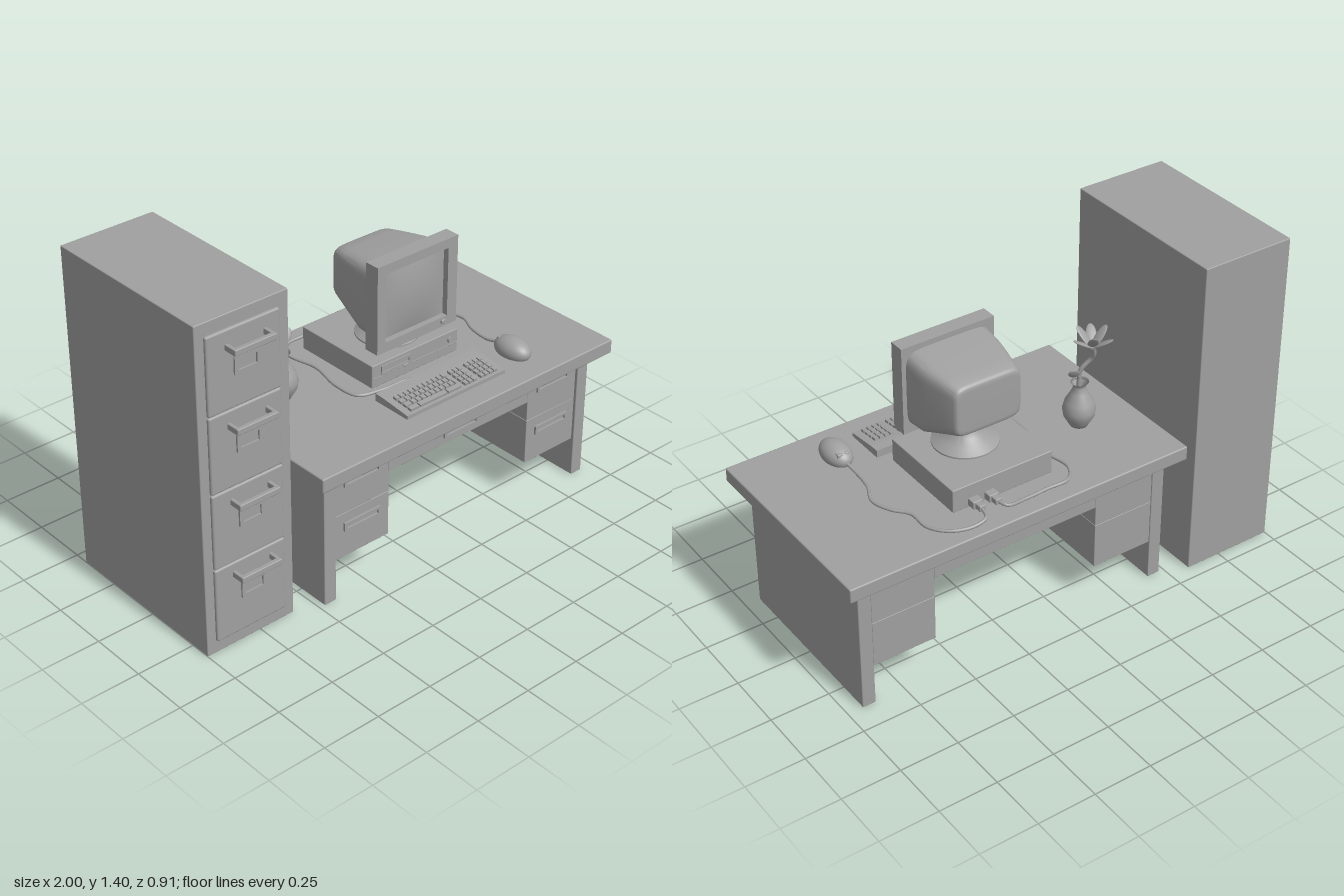
import * as THREE from 'three';
import { mergeGeometries, toCreasedNormals } from 'three/addons/utils/BufferGeometryUtils.js';
import { RoundedBoxGeometry } from 'three/addons/geometries/RoundedBoxGeometry.js';

const grey = new THREE.MeshStandardMaterial({ color: 0xa0a0a0 });
const greyDouble = new THREE.MeshStandardMaterial({ color: 0xa0a0a0, side: THREE.DoubleSide });
const V = (x, y, z) => new THREE.Vector3(x, y, z);

function add(parent, name, geometry, material = grey) {
  const mesh = new THREE.Mesh(geometry, material);
  mesh.name = name;
  parent.add(mesh);
  return mesh;
}

function group(parent, name) {
  const g = new THREE.Group();
  g.name = name;
  parent.add(g);
  return g;
}

// Box from its limits, with slightly eased edges
function box(parent, name, x0, x1, y0, y1, z0, z1, r = 0.004) {
  const g = new RoundedBoxGeometry(x1 - x0, y1 - y0, z1 - z0, 2, r);
  g.translate((x0 + x1) / 2, (y0 + y1) / 2, (z0 + z1) / 2);
  return add(parent, name, g);
}

function rectangle(path, x0, x1, y0, y1) {
  path.moveTo(x0, y0);
  path.lineTo(x1, y0);
  path.lineTo(x1, y1);
  path.lineTo(x0, y1);
  path.closePath();
  return path;
}

// Rectangular frame; border is [left, right, bottom, top]
function frame(parent, name, x0, x1, y0, y1, z0, z1, [l, r, b, t]) {
  const shape = rectangle(new THREE.Shape(), x0, x1, y0, y1);
  shape.holes.push(rectangle(new THREE.Path(), x0 + l, x1 - r, y0 + b, y1 - t));
  const g = new THREE.ExtrudeGeometry(shape, { depth: z1 - z0, bevelEnabled: false });
  return add(parent, name, g.translate(0, 0, z0));
}

function tube(parent, name, points, radius, segments = 80) {
  const curve = new THREE.CatmullRomCurve3(points.map((p) => V(...p)));
  return add(parent, name, new THREE.TubeGeometry(curve, segments, radius, 8));
}

function buildCabinet(root) {
  const cabinet = group(root, 'filingCabinet');
  box(cabinet, 'cabinetBody', -1, -0.59, 0, 1.4, -0.44, 0.34);
  for (let i = 0; i < 4; i++) {
    const y = 0.053 + i * 0.324;
    const drawer = group(cabinet, 'cabinetDrawer');
    box(drawer, 'drawerFront', -0.96, -0.635, y, y + 0.321, 0.32, 0.352, 0.008);
    // U-shaped pull
    const h = 0.325 + i * 0.318;
    box(drawer, 'pullBar', -0.88, -0.695, h - 0.013, h + 0.013, 0.39, 0.41);
    for (const x of [-0.88, -0.71]) box(drawer, 'pullArm', x, x + 0.015, h - 0.013, h + 0.013, 0.345, 0.4);
    frame(drawer, 'labelHolder', -0.845, -0.73, h - 0.12, h - 0.05, 0.35, 0.36, [0.016, 0.016, 0.014, 0.014]);
  }
}

function buildDesk(root) {
  const desk = group(root, 'desk');
  box(desk, 'deskTop', -0.535, 1, 0.572, 0.634, -0.455, 0.455, 0.006);
  for (const x of [-0.476, 0.878]) box(desk, 'sidePanel', x, x + 0.057, 0, 0.575, -0.39, 0.39);

  const drawer = (name, x0, x1, y0, y1, handleY) => {
    const d = group(desk, name);
    box(d, 'drawerBox', x0, x1, y0, y1, -0.385, 0.38, 0.002);
    const c = (x0 + x1) / 2;
    frame(d, 'recessedPull', c - 0.09, c + 0.09, handleY - 0.019, handleY + 0.019, 0.375, 0.389,
      [0.012, 0.012, 0.01, 0.01]);
  };
  for (const x of [-0.42, 0.601]) {
    drawer('upperDrawer', x, x + 0.275, 0.3755, 0.574, 0.512);
    drawer('lowerDrawer', x, x + 0.275, 0.175, 0.3745, 0.312);
  }
  drawer('centreDrawer', -0.145, 0.601, 0.463, 0.574, 0.512);
}

// Tapered picture-tube housing lofted through rounded-rectangle sections
function tubeHousing(sections, cx) {
  const n = 48, pos = [], index = [];
  const bend = (v) => Math.sign(v) * Math.abs(v) ** 0.3;
  sections.forEach(([z, hx, y0, y1]) => {
    for (let j = 0; j < n; j++) {
      const a = (j / n) * Math.PI * 2;
      pos.push(cx + hx * bend(Math.cos(a)), (y0 + y1) / 2 + ((y1 - y0) / 2) * bend(Math.sin(a)), z);
    }
  });
  for (let i = 0; i < sections.length - 1; i++) {
    for (let j = 0; j < n; j++) {
      const a = i * n + j, b = i * n + ((j + 1) % n);
      index.push(a, a + n, b, b, a + n, b + n);
    }
  }
  const g = new THREE.BufferGeometry();
  g.setAttribute('position', new THREE.Float32BufferAttribute(pos, 3));
  g.setIndex(index);
  return toCreasedNormals(g, 0.7);
}

function buildMonitor(root) {
  const monitor = group(root, 'monitor');
  const stand = [[0, 0.744], [0.132, 0.744], [0.132, 0.752], [0.1, 0.772], [0.07, 0.795], [0.052, 0.83], [0.05, 0.87]];
  const lathe = new THREE.LatheGeometry(stand.map((p) => new THREE.Vector2(...p)), 40);
  add(monitor, 'swivelStand', toCreasedNormals(lathe.translate(0.232, 0, -0.05), 0.6), greyDouble);
  frame(monitor, 'screenBezel', 0.024, 0.44, 0.79, 1.17, 0.055, 0.122, [0.042, 0.05, 0.042, 0.04]);

  // Bulging glass
  const glass = new THREE.PlaneGeometry(0.33, 0.302, 16, 16);
  const p = glass.attributes.position;
  for (let i = 0; i < p.count; i++) {
    const u = p.getX(i) / 0.165, v = p.getY(i) / 0.151;
    p.setZ(i, 0.018 * (1 - u * u) * (1 - v * v));
  }
  glass.computeVertexNormals();
  add(monitor, 'screen', glass.translate(0.228, 0.981, 0.096));

  const housing = tubeHousing([
    [0.058, 0.19, 0.812, 1.147], [-0.02, 0.186, 0.818, 1.138], [-0.07, 0.178, 0.84, 1.13],
    [-0.14, 0.163, 0.868, 1.119], [-0.195, 0.15, 0.888, 1.109], [-0.207, 0.145, 0.894, 1.103],
    [-0.211, 0.139, 0.9, 1.097], [-0.2115, 0.125, 0.913, 1.084], [-0.2115, 0, 1, 1],
  ], 0.232);
  add(monitor, 'tubeHousing', housing, greyDouble);
  box(monitor, 'powerButton', 0.357, 0.378, 0.805, 0.823, 0.115, 0.13);
}

function buildComputer(root) {
  const computer = group(root, 'computer');
  box(computer, 'caseBody', 0.005, 0.458, 0.645, 0.745, -0.3, 0.115);
  for (const x of [0.03, 0.39]) {
    for (const z of [-0.27, 0.05]) box(computer, 'caseFoot', x, x + 0.035, 0.632, 0.648, z, z + 0.035);
  }
  frame(computer, 'diskDrive', 0.05, 0.203, 0.69, 0.73, 0.11, 0.12, [0.008, 0.008, 0.012, 0.012]);
  box(computer, 'diskButton', 0.165, 0.19, 0.684, 0.694, 0.11, 0.122);
  box(computer, 'frontTrim', 0.01, 0.453, 0.684, 0.688, 0.11, 0.117, 0.001);
  const button = new THREE.CylinderGeometry(0.012, 0.012, 0.016, 16).rotateX(Math.PI / 2);
  add(computer, 'powerButton', button.translate(0.413, 0.711, 0.118));
  for (const x of [0.295, 0.368]) {
    box(computer, 'plug', x - 0.022, x + 0.022, 0.652, 0.685, -0.335, -0.295);
    box(computer, 'plugNeck', x - 0.014, x + 0.014, 0.656, 0.681, -0.365, -0.33);
  }
}

function buildKeyboard(root) {
  const keyboard = group(root, 'keyboard');
  // Wedge profile, z across and y up
  const side = new THREE.Shape([[0.355, 0.634], [0.355, 0.65], [0.22, 0.665], [0.175, 0.667], [0.175, 0.634]]
    .map((p) => new THREE.Vector2(...p)));
  const base = new THREE.ExtrudeGeometry(side, { depth: 0.52, bevelEnabled: false });
  add(keyboard, 'keyboardBase', base.rotateY(-Math.PI / 2).translate(0.49, 0, 0));

  const keys = [];
  const key = (x0, x1, z) => {
    const g = new THREE.BoxGeometry(x1 - x0, 0.016, 0.021);
    keys.push(g.rotateX(0.11).translate((x0 + x1) / 2, 0.668 - (z - 0.22) * 0.111, z));
  };
  const blocks = [[0, 11, 0.0245], [0.285, 3, 0.0225], [0.37, 4, 0.0235]];
  for (let row = 0; row < 4; row++) {
    const z = 0.25 + row * 0.0275;
    for (const [start, count, step] of blocks) {
      const main = count === 11;
      if (main && row === 3) {
        key(0, 0.043, z);
        key(0.049, 0.19, z);
        key(0.196, 0.264, z);
      } else {
        const shift = main ? (row % 3) * 0.006 : 0;
        for (let i = 0; i < count; i++) {
          key(start + i * step + (i ? shift : 0), start + (i + 1) * step - 0.006 + (i < count - 1 ? shift : 0), z);
        }
      }
    }
  }
  add(keyboard, 'keys', mergeGeometries(keys));
  tube(keyboard, 'keyboardCable', [[0.23, 0.645, 0.178], [0.15, 0.643, 0.15], [0.03, 0.643, 0.14], [-0.065, 0.643, 0.11],
    [-0.08, 0.643, 0], [-0.05, 0.643, -0.155], [-0.07, 0.643, -0.3], [-0.02, 0.643, -0.37], [0.08, 0.645, -0.375],
    [0.19, 0.65, -0.385], [0.28, 0.665, -0.395], [0.295, 0.668, -0.355]], 0.007);
}

function buildMouse(root) {
  const mouse = group(root, 'mouse');
  const body = new THREE.SphereGeometry(1, 32, 16, 0, Math.PI * 2, 0, Math.PI * 0.62);
  add(mouse, 'mouseBody', body.scale(0.057, 0.05, 0.088).translate(0.618, 0.657, 0.268), greyDouble);
  for (const x of [0.595, 0.624]) box(mouse, 'mouseButton', x, x + 0.024, 0.673, 0.693, 0.2, 0.25);
  tube(mouse, 'mouseCable', [[0.618, 0.655, 0.19], [0.613, 0.643, 0.13], [0.625, 0.643, 0.03], [0.66, 0.643, -0.06],
    [0.635, 0.643, -0.14], [0.585, 0.643, -0.21], [0.58, 0.643, -0.31], [0.53, 0.645, -0.38], [0.45, 0.65, -0.415],
    [0.385, 0.662, -0.41], [0.368, 0.668, -0.355]], 0.007);
}

function buildVase(root) {
  const vase = group(root, 'flowerVase');
  const profile = [[0, 0.634], [0.036, 0.634], [0.045, 0.65], [0.062, 0.68], [0.067, 0.71], [0.058, 0.745],
    [0.035, 0.785], [0.025, 0.81], [0.028, 0.825], [0.038, 0.835], [0.02, 0.815], [0.018, 0.79]];
  const lathe = new THREE.LatheGeometry(profile.map((p) => new THREE.Vector2(...p)), 32);
  add(vase, 'vase', lathe.translate(-0.283, 0, -0.085), greyDouble);
  tube(vase, 'stem', [[-0.283, 0.7, -0.085], [-0.28, 0.85, -0.085], [-0.283, 0.89, -0.09], [-0.318, 0.94, -0.11],
    [-0.32, 0.97, -0.125], [-0.305, 1.02, -0.132]], 0.009, 32);
  tube(vase, 'leafStalk', [[-0.281, 0.845, -0.086], [-0.275, 0.86, -0.088], [-0.264, 0.872, -0.092]], 0.006, 8);

  // Pointed oval rising from its base, rolled about its own length
  const petal = (name, position, length, tilt, turn, roll) => {
    const g = new THREE.SphereGeometry(1, 14, 10).scale(0.022, length / 2, 0.006).translate(0, length / 2, 0);
    const m = add(vase, name, g.rotateY(roll));
    m.position.set(...position);
    m.rotation.set(tilt, turn, 0, 'YXZ');
  };
  for (let i = 0; i < 6; i++) {
    petal('petal', [-0.305, 1.005, -0.13], 0.103, i % 2 ? 1.0 : 0.7, (i * Math.PI) / 3 + 0.5, 0);
  }
  petal('leaf', [-0.268, 0.866, -0.09], 0.065, 0.8, 1.9, 0.8);
  add(vase, 'flowerCentre', new THREE.SphereGeometry(0.017, 12, 8).translate(-0.305, 1.01, -0.132));
}

export function createModel() {
  const root = new THREE.Group();
  root.name = 'officeDeskSet';
  [buildCabinet, buildDesk, buildMonitor, buildComputer, buildKeyboard, buildMouse, buildVase].forEach((build) => build(root));
  return root;
}
